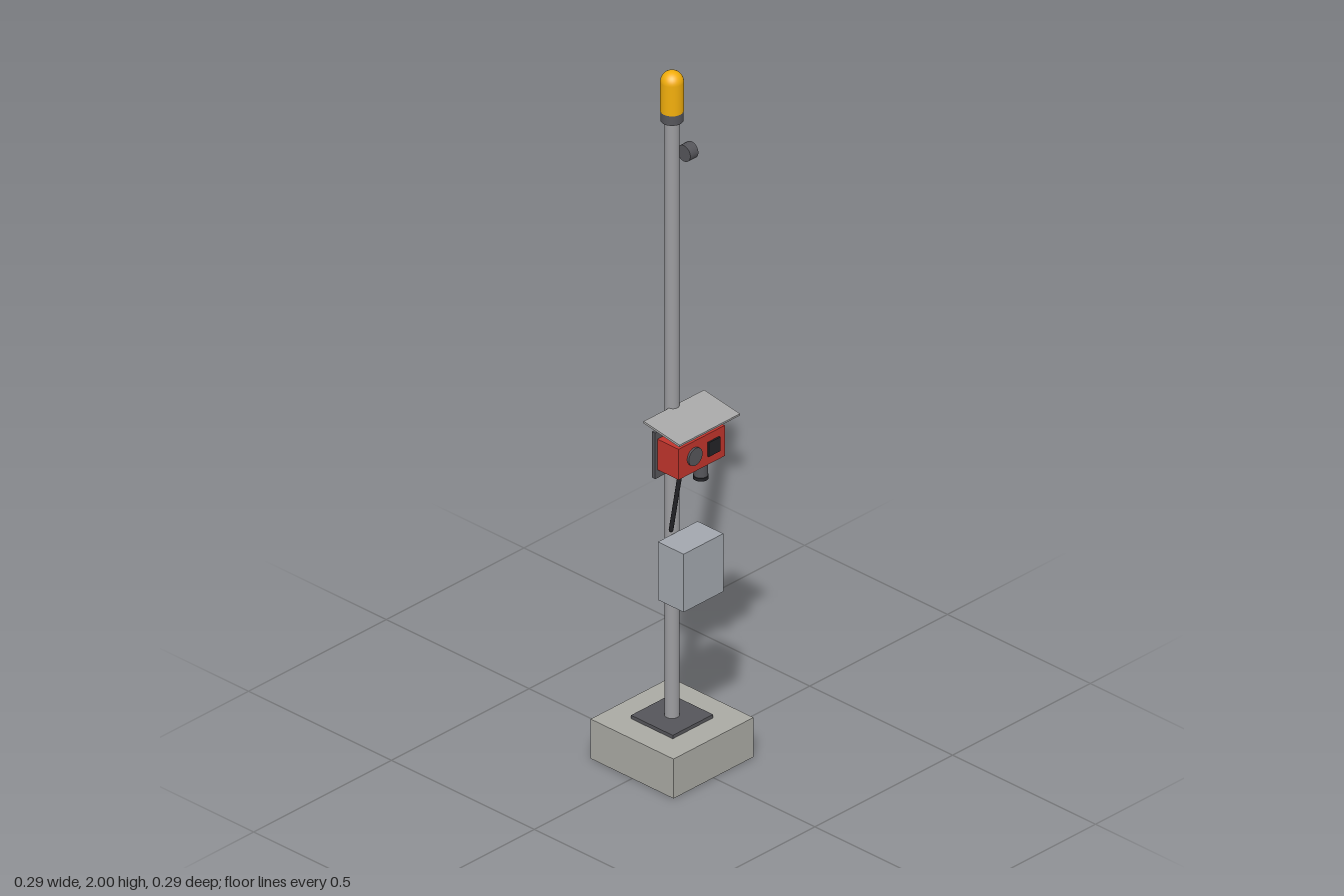
import * as THREE from 'three';

export function createModel() {
  const model = new THREE.Group();
  const mat = (color) => new THREE.MeshStandardMaterial({ color });
  const concrete = mat(0xaaaaa4), steel = mat(0x9c9c9f), dark = mat(0x55555a), black = mat(0x222226);
  const red = mat(0xc0342c), amber = mat(0xf2ae0c), cabinetGrey = mat(0xa2a7ae), roofGrey = mat(0xa8a8a8);

  const add = (name, geometry, material, x, y, z) => {
    const mesh = new THREE.Mesh(geometry, material);
    mesh.name = name;
    mesh.position.set(x, y, z);
    model.add(mesh);
    return mesh;
  };
  // Box given by its limits on each axis
  const box = (name, material, [x0, x1], [y0, y1], [z0, z1]) =>
    add(name, new THREE.BoxGeometry(x1 - x0, y1 - y0, z1 - z0), material,
      (x0 + x1) / 2, (y0 + y1) / 2, (z0 + z1) / 2);
  // Upright cylinder from y0 to y1
  const post = (name, material, r, y0, y1, x = 0, z = 0) =>
    add(name, new THREE.CylinderGeometry(r, r, y1 - y0, 32), material, x, (y0 + y1) / 2, z);

  // Foundation and pole
  box('foundation', concrete, [-0.145, 0.145], [0, 0.115], [-0.145, 0.145]);
  box('footPlate', dark, [-0.073, 0.073], [0.115, 0.125], [-0.073, 0.073]);
  post('pole', steel, 0.019, 0.125, 1.86);

  // Beacon with a domed top
  post('beaconCollar', dark, 0.029, 1.857, 1.885);
  post('beaconLens', amber, 0.03, 1.885, 1.97);
  add('beaconDome', new THREE.SphereGeometry(0.03, 32, 12, 0, Math.PI * 2, 0, Math.PI / 2),
    amber, 0, 1.97, 0);

  // Side sensor, axis along x
  add('sensor', new THREE.CylinderGeometry(0.023, 0.023, 0.029, 24), dark, 0.0575, 1.742, 0)
    .rotation.z = Math.PI / 2;

  // Control unit on its mounting plate
  box('mountingPlate', dark, [-0.092, 0.092], [0.862, 0.996], [0.019, 0.03]);
  box('controlHousing', red, [-0.084, 0.084], [0.886, 0.975], [0.03, 0.104]);
  add('controlDial', new THREE.CylinderGeometry(0.025, 0.025, 0.008, 24), dark, -0.028, 0.932, 0.106)
    .rotation.x = Math.PI / 2;
  box('controlWindow', black, [0.021, 0.063], [0.911, 0.952], [0.103, 0.109]);

  // Downward connector
  post('connectorBody', dark, 0.018, 0.836, 0.886, 0.035, 0.067);
  post('connectorRim', black, 0.02, 0.828, 0.837, 0.035, 0.067);

  // Hanging cable
  const cable = new THREE.LineCurve3(
    new THREE.Vector3(-0.047, 0.89, 0.076), new THREE.Vector3(-0.047, 0.7, 0.042));
  add('cable', new THREE.TubeGeometry(cable, 1, 0.006, 12), black, 0, 0, 0);
  add('cableEnd', new THREE.SphereGeometry(0.006, 12, 8), black, -0.047, 0.7, 0.042);

  // Sloping rain roof
  add('rainRoof', new THREE.BoxGeometry(0.22, 0.006, 0.127), roofGrey, 0, 1.016, 0.069)
    .rotation.x = 0.15;

  // Lower cabinet
  box('cabinet', cabinetGrey, [-0.072, 0.072], [0.498, 0.667], [0.02, 0.11]);

  return model;
}
